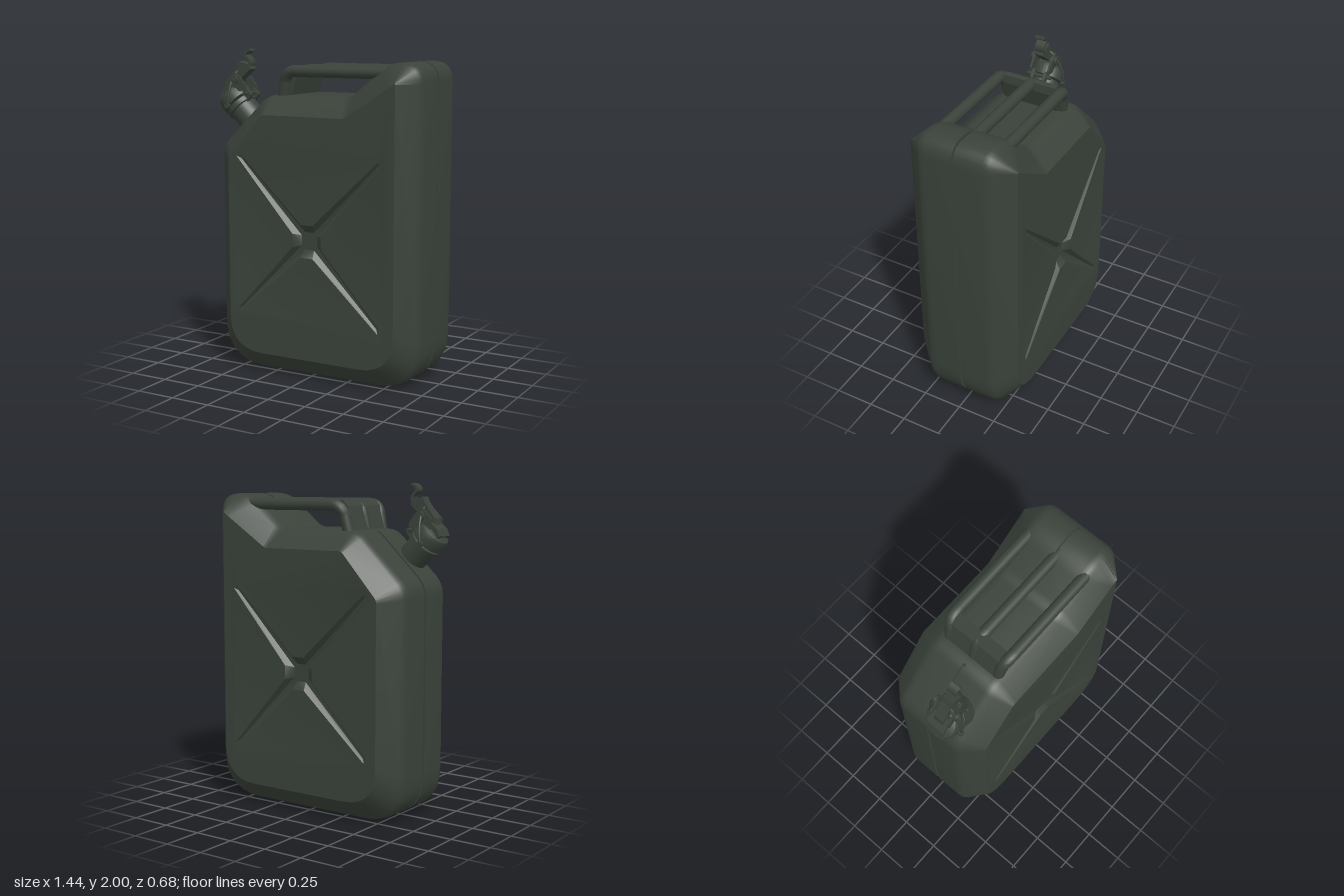
import * as THREE from 'three';
import { toCreasedNormals } from 'three/addons/utils/BufferGeometryUtils.js';

const V = (x, y, z) => new THREE.Vector3(x, y, z);

// Outline with rounded corners: each corner is [x, y, tangent length]
function roundedOutline(corners, steps = 7) {
  const pts = [];
  corners.forEach(([x, y, r], i) => {
    const p = corners[(i + corners.length - 1) % corners.length];
    const n = corners[(i + 1) % corners.length];
    const c = new THREE.Vector2(x, y);
    const toward = (q) => new THREE.Vector2(q[0] - x, q[1] - y).setLength(r).add(c);
    const curve = new THREE.QuadraticBezierCurve(toward(p), c, toward(n));
    pts.push(...curve.getPoints(steps));
  });
  return pts;
}

// Geometry from a list of triangle corners, with sharp edges kept
function fromTriangles(list, crease = 0.5) {
  const g = new THREE.BufferGeometry().setFromPoints(list);
  return toCreasedNormals(g, crease);
}

export function createModel() {
  const model = new THREE.Group();
  const paint = new THREE.MeshStandardMaterial({ color: 0x3a423a });
  paint.name = 'dark olive paint';

  const add = (parent, name, geometry, pos = [0, 0, 0], rot = [0, 0, 0]) => {
    const m = new THREE.Mesh(geometry, paint);
    m.name = name;
    m.position.set(...pos);
    m.rotation.set(...rot);
    parent.add(m);
    return m;
  };

  // Can shell: wide outline in the middle, bevelled to a smaller face outline
  const outer = roundedOutline([
    [-0.66, 0, 0.28], [0.715, 0, 0.28], [0.715, 1.935, 0.12], [0.49, 1.935, 0.09],
    [0.245, 1.725, 0.05], [-0.325, 1.725, 0.06], [-0.66, 1.405, 0.07],
  ]);
  const inner = roundedOutline([
    [-0.54, 0.125, 0.23], [0.6, 0.125, 0.23], [0.6, 1.825, 0.012], [0.565, 1.8, 0.012],
    [0.27, 1.61, 0.015], [-0.295, 1.61, 0.02], [-0.54, 1.34, 0.02],
  ]);
  // [blend from face to full outline, z]; the middle pair is the seam groove
  const half = [[0, 0.34], [0.85, 0.235], [0.96, 0.212], [1, 0.18], [1, 0.009], [0.82, 0.009]];
  const profile = [...half, ...half.map(([t, z]) => [t, -z]).reverse()];
  const rings = profile.map(([t, z]) => outer.map((o, i) => {
    const underHandle = o.y > 1.6 && o.x > -0.32 && o.x < 0.47;
    const k = Math.abs(z) < 0.01 && underHandle ? 1 : t;
    const p = inner[i].clone().lerp(o, k);
    return V(p.x, p.y, z);
  }));
  const shell = [];
  for (let k = 0; k < rings.length - 1; k++) {
    for (let i = 0; i < outer.length; i++) {
      const j = (i + 1) % outer.length;
      const [a, b, c, d] = [rings[k][i], rings[k][j], rings[k + 1][j], rings[k + 1][i]];
      shell.push(d, c, b, d, b, a);
    }
  }
  add(model, 'canShell', fromTriangles(shell));

  // Side panel with a pressed-in tapering cross
  const centre = new THREE.Vector2(0.02, 0.862);
  const rim = [], floor = [];
  for (const [x, y] of [[0.51, 1.365], [-0.47, 1.365], [-0.47, 0.385], [0.51, 0.365]]) {
    const u = new THREE.Vector2(x, y).sub(centre);
    const len = u.length();
    u.normalize();
    const at = (along, side, z) =>
      V(centre.x + u.x * along - u.y * side, centre.y + u.y * along + u.x * side, z);
    rim.push(at(0.1, -0.042, 0.34), at(len, -0.014, 0.34), at(len, 0.014, 0.34), at(0.1, 0.042, 0.34));
    floor.push(at(0.06, -0.016, 0.305), at(len - 0.03, -0.003, 0.328),
      at(len - 0.03, 0.003, 0.328), at(0.06, 0.016, 0.305));
  }
  const shape = new THREE.Shape(inner);
  shape.holes.push(new THREE.Path(rim.map((p) => new THREE.Vector2(p.x, p.y))));
  const flat = new THREE.ShapeGeometry(shape).toNonIndexed().getAttribute('position');
  const panel = [];
  for (let i = 0; i < flat.count; i++) panel.push(V(flat.getX(i), flat.getY(i), 0.34));
  const mid = V(centre.x, centre.y, 0.305);
  rim.forEach((p, i) => {
    const j = (i + 1) % rim.length;
    panel.push(p, rim[j], floor[j], p, floor[j], floor[i]);
  });
  for (let i = 0; i < 16; i += 4) {
    const [a, b, c, d] = floor.slice(i, i + 4);
    panel.push(a, b, c, a, c, d, mid, a, d, mid, d, floor[(i + 4) % 16]);
  }
  add(model, 'frontPanel', fromTriangles(panel));
  const back = panel.map((p) => V(p.x, p.y, -p.z)).reverse();
  add(model, 'backPanel', fromTriangles(back));

  // Three carrying bars, joined at their sloping front legs
  const handle = new THREE.Group();
  handle.name = 'handle';
  model.add(handle);
  for (const z of [-0.203, 0, 0.203]) {
    const path = new THREE.CurvePath();
    const foot = z * 0.86;
    const a = V(0.5, 1.872, z), b = V(-0.13, 1.872, z);
    const c = V(-0.212, 1.82, z * 0.92), d = V(-0.24, 1.7, foot);
    path.add(new THREE.LineCurve3(a, b));
    path.add(new THREE.QuadraticBezierCurve3(b, V(-0.195, 1.872, z), c));
    path.add(new THREE.LineCurve3(c, d));
    add(handle, 'handleBar', new THREE.TubeGeometry(path, 48, 0.036, 12));
  }
  const web = new THREE.Shape([[-0.275, 1.7], [-0.195, 1.7], [-0.15, 1.845], [-0.155, 1.895],
    [-0.19, 1.9], [-0.225, 1.865]].map(([x, y]) => new THREE.Vector2(x, y)));
  add(handle, 'handleWeb', new THREE.ExtrudeGeometry(web, { depth: 0.34, bevelEnabled: false }), [0, 0, -0.17]);

  // Pouring spout: local y runs out along the neck, local x points up and back
  const spout = new THREE.Group();
  spout.name = 'spout';
  spout.position.set(-0.495, 1.555, 0.12);
  spout.rotation.z = Math.PI / 4;
  model.add(spout);
  const turned = (pts) => toCreasedNormals(
    new THREE.LatheGeometry(pts.map(([r, y]) => new THREE.Vector2(r, y)), 28), 0.6);
  add(spout, 'neck', turned([[0.09, -0.14], [0.09, 0.1], [0.1, 0.105], [0.1, 0.135], [0.085, 0.14]]));
  add(spout, 'cap', turned([[0.085, 0.145], [0.106, 0.15], [0.106, 0.2], [0.095, 0.225],
    [0.06, 0.24], [0, 0.243]]));

  // Extruded plate centred on the spout's middle plane
  const plate = (name, pts, width, z = 0) => add(spout, name,
    new THREE.ExtrudeGeometry(new THREE.Shape(pts.map((p) => new THREE.Vector2(...p))),
      { depth: width, bevelEnabled: false }), [0, 0, z - width / 2]);
  plate('capBridge', [[-0.06, 0.22], [0.07, 0.22], [0.07, 0.262], [-0.02, 0.268], [-0.06, 0.25]], 0.12);
  plate('lever', [[0, 0.25], [0.1, 0.235], [0.225, 0.225], [0.235, 0.25], [0.2, 0.318],
    [0.16, 0.305], [0.05, 0.29]], 0.065);
  for (const s of [-1, 1]) {
    plate('leverCheek', [[0.01, 0.235], [0.09, 0.17], [0.125, 0.14], [0.14, 0.16],
      [0.15, 0.22], [0.14, 0.285], [0.05, 0.285]], 0.014, s * 0.06);
    plate('hingeLug', [[0.07, 0.09], [0.125, 0.1], [0.125, 0.16], [0.07, 0.16]], 0.02, s * 0.04);
    add(spout, 'hingeKnob', new THREE.CylinderGeometry(0.028, 0.028, 0.02, 14),
      [0.11, 0.245, s * 0.075], [Math.PI / 2, 0, 0]);
    add(spout, 'bailEnd', new THREE.CylinderGeometry(0.016, 0.016, 0.025, 10),
      [-0.02, 0.15, s * 0.112], [Math.PI / 2, 0, 0]);
  }
  for (const [x, y, len] of [[0.11, 0.245, 0.19], [0.11, 0.13, 0.16]]) {
    add(spout, 'hingePin', new THREE.CylinderGeometry(0.012, 0.012, len, 10), [x, y, 0], [Math.PI / 2, 0, 0]);
  }
  // Locking wire looping over the cap
  const bail = new THREE.CatmullRomCurve3([V(-0.02, 0.15, -0.115), V(0.03, 0.19, -0.112),
    V(0.09, 0.24, -0.09), V(0.14, 0.28, -0.04), V(0.15, 0.288, 0), V(0.14, 0.28, 0.04),
    V(0.09, 0.24, 0.09), V(0.03, 0.19, 0.112), V(-0.02, 0.15, 0.115)]);
  add(spout, 'lockingWire', new THREE.TubeGeometry(bail, 40, 0.008, 8));

  // Curled thumb tab at the end of the lever
  const tab = new THREE.SplineCurve([[-0.545, 1.87], [-0.508, 1.9], [-0.515, 1.932],
    [-0.538, 1.955], [-0.528, 1.98], [-0.5, 1.992]].map((p) => new THREE.Vector2(...p)));
  const edge = (side) => Array.from({ length: 19 }, (_, i) => {
    const t = tab.getTangent(i / 18);
    return tab.getPoint(i / 18).add(new THREE.Vector2(-t.y, t.x).multiplyScalar(side * 0.008));
  });
  const tabShape = new THREE.Shape([...edge(-1), ...edge(1).reverse()]);
  add(model, 'thumbTab', toCreasedNormals(
    new THREE.ExtrudeGeometry(tabShape, { depth: 0.062, bevelEnabled: false }), 0.6), [0, 0, 0.085]);

  return model;
}
